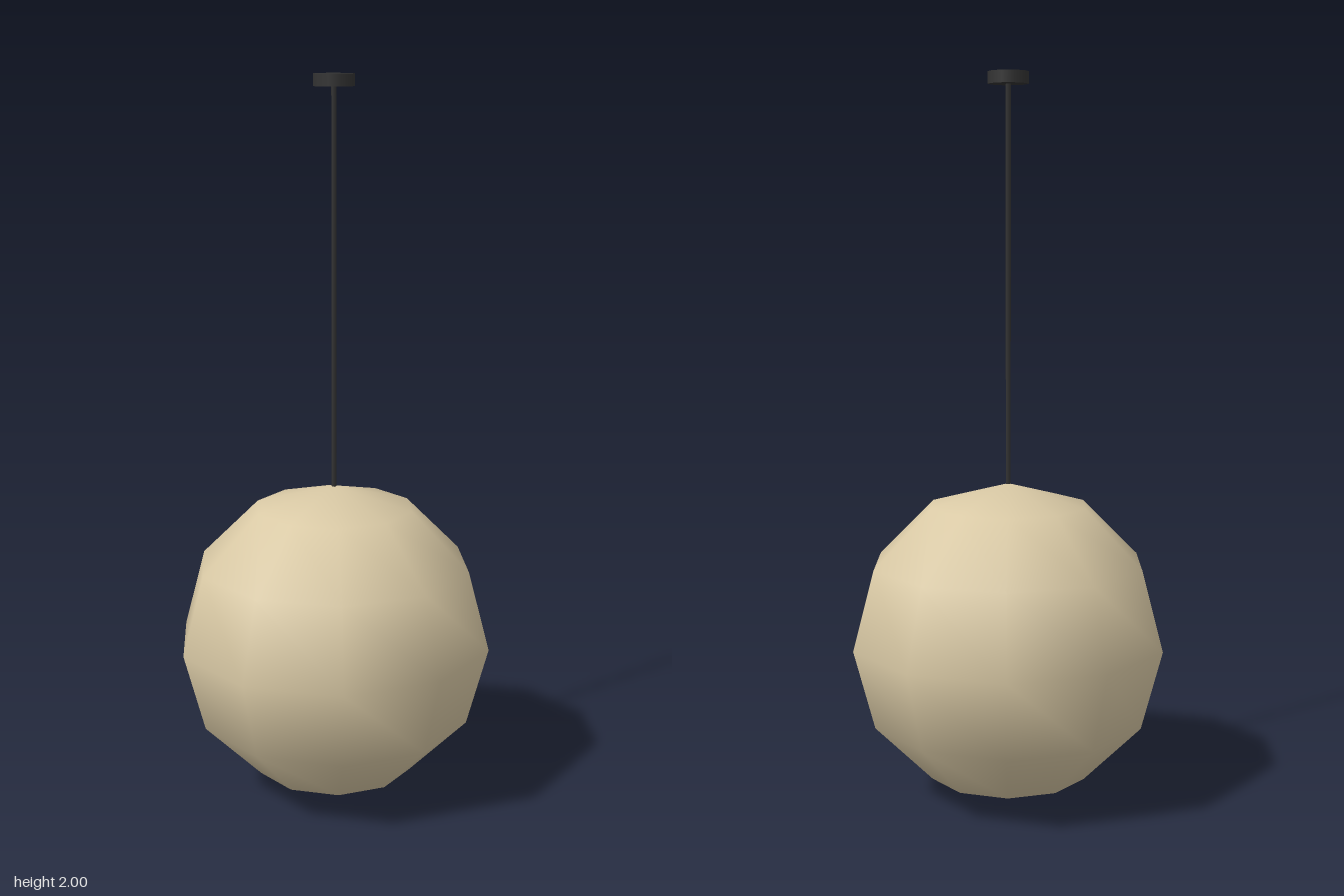
import * as THREE from 'three';

export function createModel() {
  const group = new THREE.Group();
  const shadeMat = new THREE.MeshStandardMaterial({ color: 0xd9c9a5 });
  shadeMat.name = 'warm beige';
  const darkMat = new THREE.MeshStandardMaterial({ color: 0x333333 });
  darkMat.name = 'charcoal';

  const add = (name, geometry, material, y) => {
    const mesh = new THREE.Mesh(geometry, material);
    mesh.name = name;
    mesh.position.y = y;
    group.add(mesh);
  };

  // Globe shade: coarse outline, smooth shading
  const radius = 0.443;
  add('globeShade', new THREE.SphereGeometry(radius, 10, 6), shadeMat, radius + 0.002);

  // Thin cord from the top of the shade to the ceiling
  const cordBottom = 0.87, cordTop = 1.98;
  add('cord', new THREE.CylinderGeometry(0.007, 0.007, cordTop - cordBottom, 6), darkMat, (cordBottom + cordTop) / 2);

  // Ceiling mount
  add('ceilingMount', new THREE.CylinderGeometry(0.055, 0.055, 0.033, 10), darkMat, 1.9835);

  // Stand the model exactly on the ground
  group.children[0].position.y = radius;
  return group;
}
